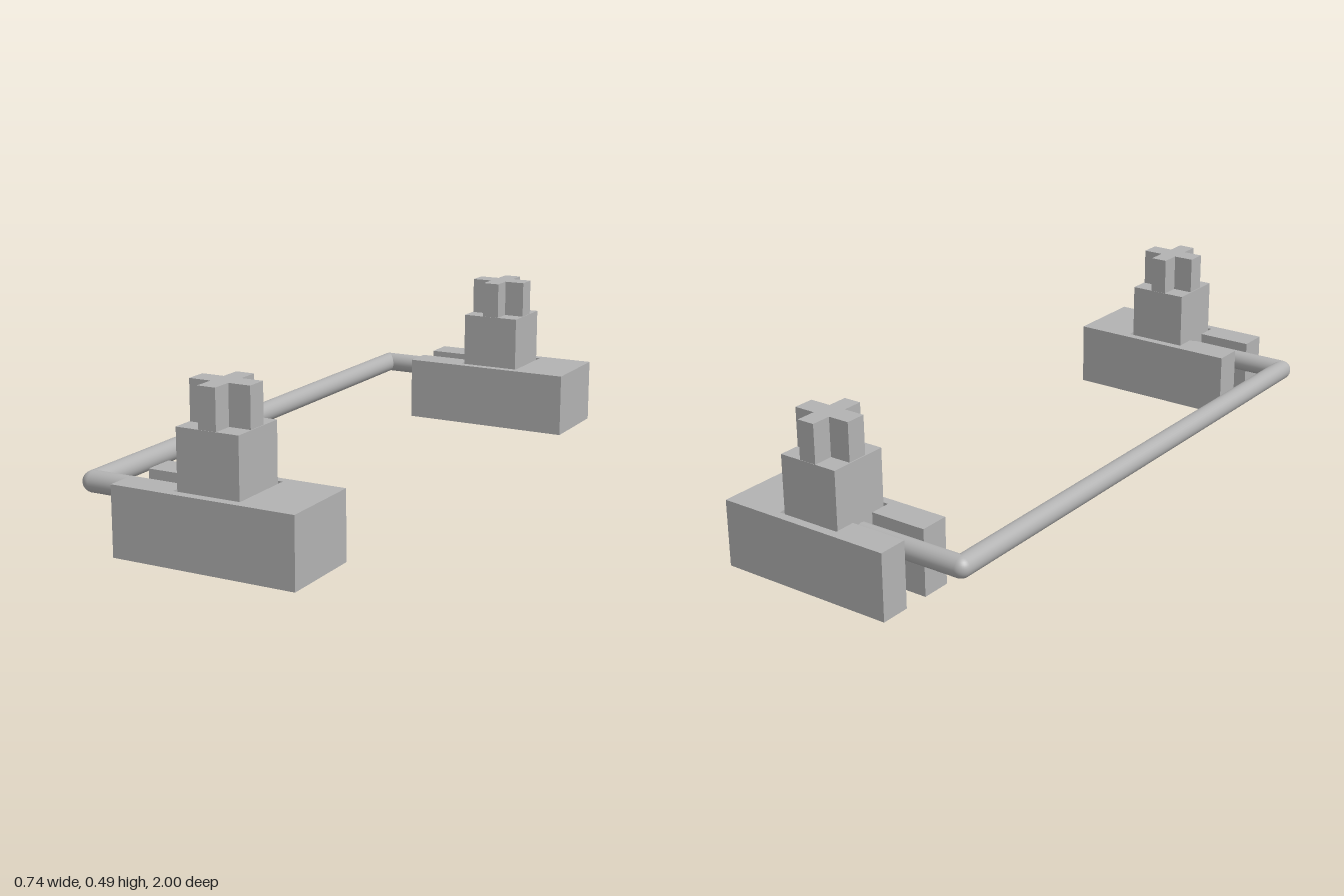
import * as THREE from 'three';

const grey = new THREE.MeshStandardMaterial({ color: 0xb2b2b2 });
grey.name = 'grey';

const END_Z = 0.869;  // distance of each housing from the centre
const WIRE_X = -0.34;
const WIRE_Y = 0.154;
const WIRE_R = 0.031;
const STEM_X = 0.0925;

function part(name, geometry, x = 0, y = 0, z = 0) {
  const mesh = new THREE.Mesh(geometry, grey);
  mesh.name = name;
  mesh.position.set(x, y, z);
  return mesh;
}

// Extrude a plan outline (x, z) upwards
function prism(points, height) {
  const shape = new THREE.Shape(points.map(([x, z]) => new THREE.Vector2(x, z)));
  return new THREE.ExtrudeGeometry(shape, { depth: height, bevelEnabled: false }).rotateX(-Math.PI / 2);
}

function createStabilizer(name) {
  const group = new THREE.Group();
  group.name = name;

  // Housing with a square well that opens into a slot for the wire
  const w = 0.131, slot = 0.039, well = 0.104;
  group.add(part('housing', prism([
    [0.37, -w], [0.37, w], [-0.185, w], [-0.185, slot], [-0.008, slot], [-0.008, well],
    [0.195, well], [0.195, -well], [-0.008, -well], [-0.008, -slot], [-0.185, -slot], [-0.185, -w],
  ], 0.201)));

  // Sliding stem
  group.add(part('stem', new THREE.BoxGeometry(0.189, 0.22, 0.186), STEM_X, 0.26, 0));

  // Cross-shaped mount on the stem
  const a = 0.092, bx = 0.027, bz = 0.031;
  group.add(part('crossMount', prism([
    [a, -bz], [a, bz], [bx, bz], [bx, a], [-bx, a], [-bx, bz],
    [-a, bz], [-a, -bz], [-bx, -bz], [-bx, -a], [bx, -a], [bx, -bz],
  ], 0.115), STEM_X, 0.37, 0));
  return group;
}

export function createModel() {
  const model = new THREE.Group();
  model.name = 'stabilizerAssembly';

  // Wire: a long bar with an arm into each housing
  const wire = new THREE.Group();
  wire.name = 'wire';
  wire.add(part('wireBar', new THREE.CylinderGeometry(WIRE_R, WIRE_R, END_Z * 2, 32, 1, true).rotateX(Math.PI / 2), WIRE_X, WIRE_Y, 0));
  model.add(wire);

  for (const side of [-1, 1]) {
    const label = side > 0 ? 'front' : 'back';
    const stabilizer = createStabilizer(label + 'Stabilizer');
    stabilizer.position.z = side * END_Z;
    model.add(stabilizer);

    const armLength = 0.39;
    wire.add(part(label + 'WireArm', new THREE.CylinderGeometry(WIRE_R, WIRE_R, armLength, 32).rotateZ(Math.PI / 2),
      WIRE_X + armLength / 2, WIRE_Y, side * END_Z));
    wire.add(part(label + 'WireElbow', new THREE.SphereGeometry(WIRE_R, 32, 16), WIRE_X, WIRE_Y, side * END_Z));
  }
  return model;
}
